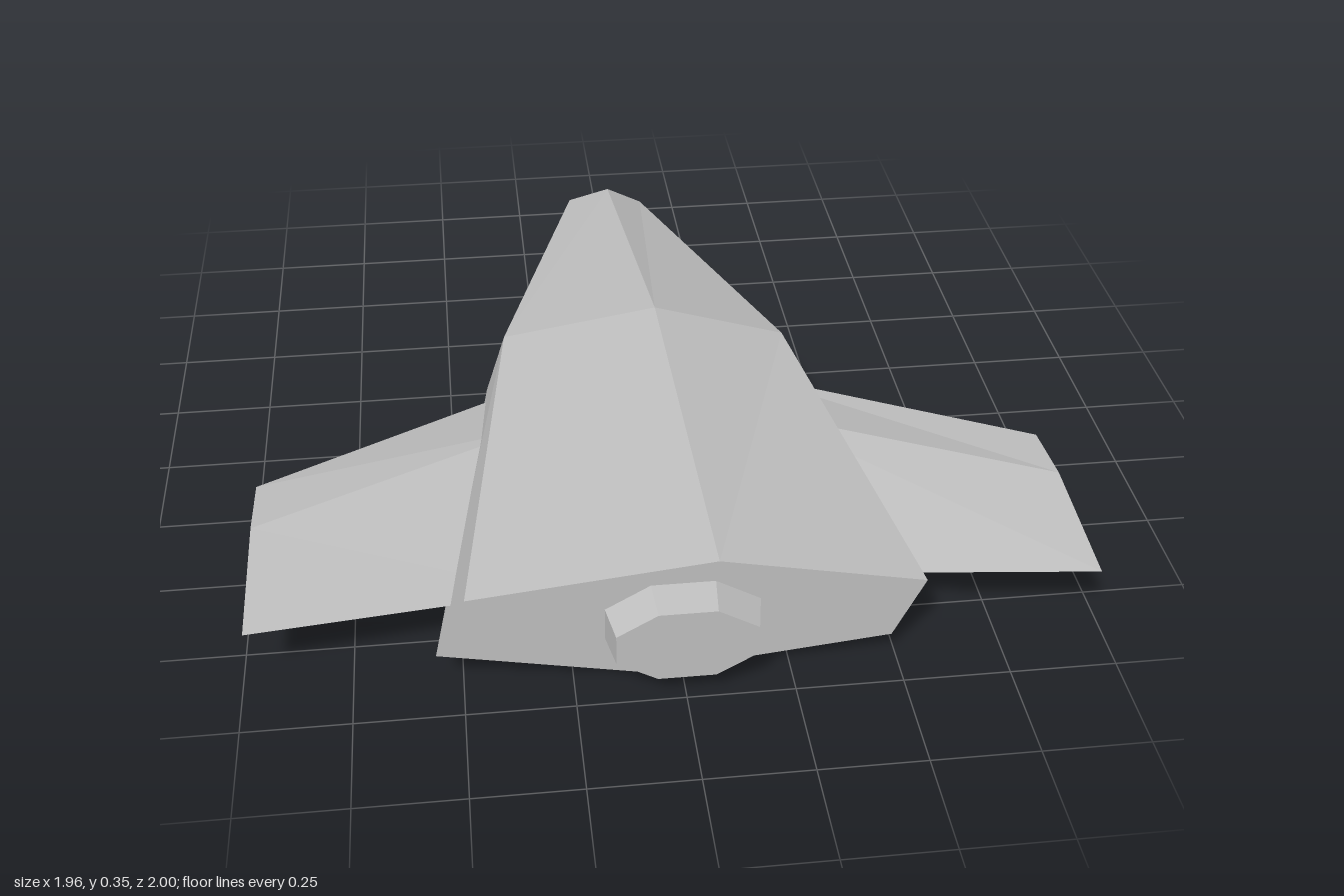
import * as THREE from 'three';

// Skin a series of cross-sections (counter-clockwise seen from the last one) and cap both ends
function loft(sections) {
  const pos = [];
  const tri = (...pts) => pts.forEach((p) => pos.push(...p));
  const n = sections[0].length;
  for (let i = 0; i < sections.length - 1; i++) {
    const a = sections[i], b = sections[i + 1];
    for (let k = 0; k < n; k++) {
      const m = (k + 1) % n;
      tri(a[k], a[m], b[m]);
      tri(a[k], b[m], b[k]);
    }
  }
  const first = sections[0], last = sections[sections.length - 1];
  for (let k = 1; k < n - 1; k++) {
    tri(first[0], first[k + 1], first[k]);
    tri(last[0], last[k], last[k + 1]);
  }
  const g = new THREE.BufferGeometry();
  g.setAttribute('position', new THREE.Float32BufferAttribute(pos, 3));
  g.computeVertexNormals();
  return g;
}

// Six-sided hull section: three corners, repeated by a half turn about (0, cy)
function hullSection(z, cy, corners) {
  const half = corners.map(([x, y]) => [x, y, z]);
  return [...half, ...half.map(([x, y]) => [-x, 2 * cy - y, z])];
}

export function createModel() {
  const group = new THREE.Group();
  const grey = new THREE.MeshStandardMaterial({ color: 0xc0c0c0, flatShading: true });
  grey.name = 'hull grey';
  const add = (name, geometry) => {
    const mesh = new THREE.Mesh(geometry, grey);
    mesh.name = name;
    group.add(mesh);
    return mesh;
  };

  // Hull: slightly twisted hexagon, narrow at the nose and wide at the stern
  add('hull', loft([
    hullSection(-1, 0.138, [[0.115, 0.17], [0.015, 0.22], [-0.103, 0.188]]),
    hullSection(-0.1, 0.182, [[0.4, 0.245], [0.055, 0.35], [-0.347, 0.285]]),
    hullSection(0.91, 0.161, [[0.558, 0.22], [0.08, 0.32], [-0.487, 0.258]]),
  ]));

  // Wings: diamond sections given as leading edge, ridge, trailing edge, keel
  const root = [[0.3, 0.138, -0.068], [0.3, 0.205, 0.21], [0.3, 0.147, 0.772], [0.3, 0.092, 0.21]];
  const tip = [[0.98, 0.185, 0.35], [0.98, 0.205, 0.535], [0.98, 0.18, 0.88], [0.98, 0.165, 0.535]];
  const mirror = (s) => s.map(([x, y, z]) => [-x, y, z]).reverse();
  add('leftWing', loft([root, tip]));
  add('rightWing', loft([mirror(root), mirror(tip)]));

  // Engine: flattened, tapering octagon at the stern
  const engine = new THREE.CylinderGeometry(0.173, 0.197, 0.12, 8);
  engine.rotateY(Math.PI / 8);
  engine.rotateX(Math.PI / 2);
  engine.scale(1, 0.59, 1);
  engine.translate(0, 0.16, 0.94);
  add('engine', engine);

  return group;
}
